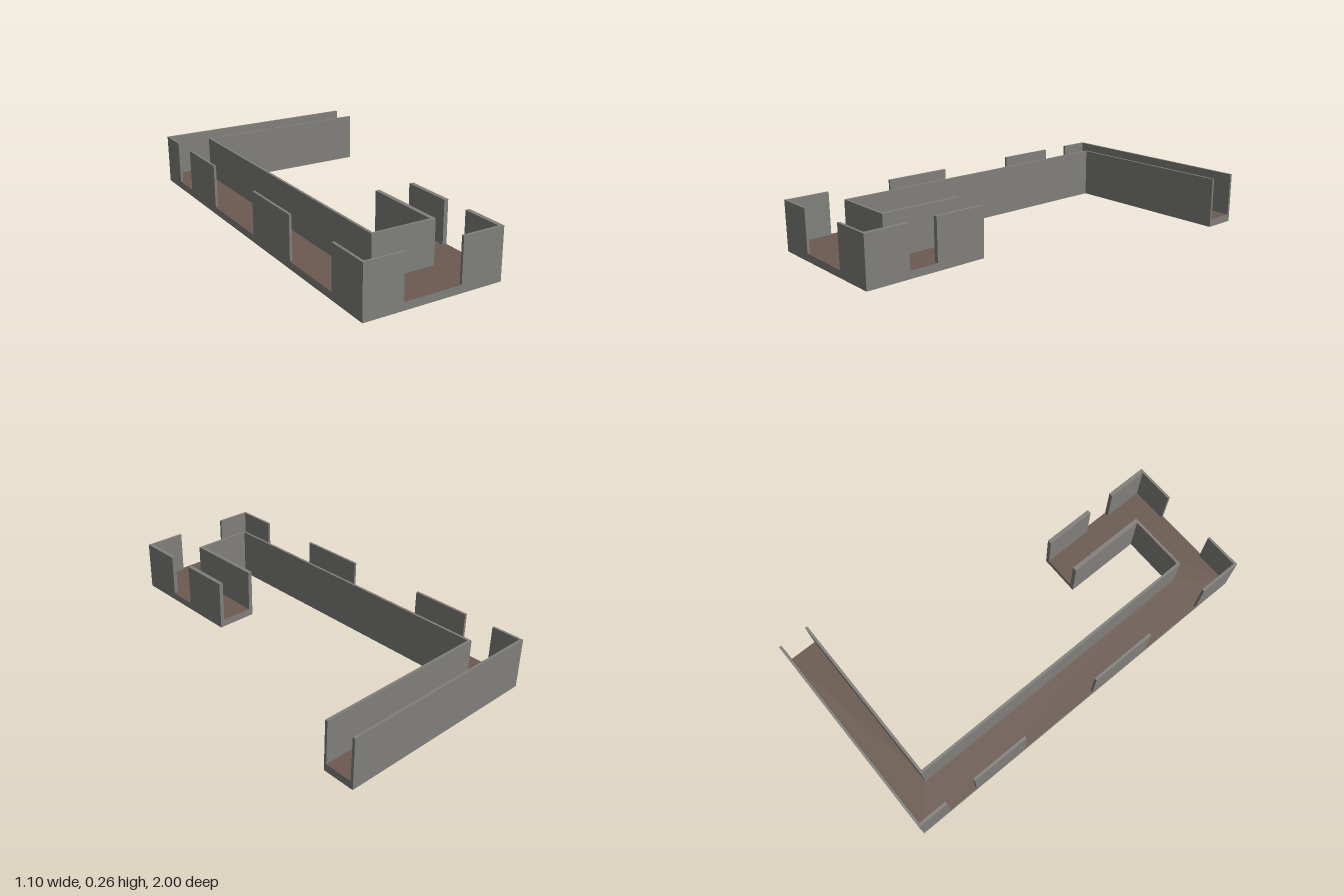
import * as THREE from 'three';

const FLOOR = 0.038, TOP = 0.257;

export function createModel() {
  const group = new THREE.Group();
  const stone = new THREE.MeshStandardMaterial({ color: 0x807f7b });
  stone.name = 'grey stone';
  const earth = new THREE.MeshStandardMaterial({ color: 0x6b5a50 });
  earth.name = 'brown floor';

  const add = (name, geometry, material) => {
    const mesh = new THREE.Mesh(geometry, material);
    mesh.name = name;
    group.add(mesh);
    return mesh;
  };

  // Plan of the hooked corridor, as [x, z] corners
  const plan = [
    [-0.55, 1], [0.15, 1], [0.15, 0.36], [-0.064, 0.36], [-0.064, 0.772],
    [-0.355, 0.772], [-0.355, -0.834], [0.55, -0.834], [0.55, -1], [-0.55, -1],
  ];
  const shape = new THREE.Shape(plan.map(([x, z]) => new THREE.Vector2(x, -z)));

  // Slab with a brown walking surface
  add('floorSlab', new THREE.ExtrudeGeometry(shape, { depth: FLOOR, bevelEnabled: false })
    .rotateX(-Math.PI / 2), stone);
  add('floorSurface', new THREE.ShapeGeometry(shape).rotateX(-Math.PI / 2), earth)
    .position.y = FLOOR + 0.0005;

  // Wall panel covering a rectangle of the plan
  const wall = (name, x0, x1, z0, z1) => {
    const h = TOP - FLOOR;
    add(name, new THREE.BoxGeometry(x1 - x0, h, z1 - z0), stone)
      .position.set((x0 + x1) / 2, FLOOR + h / 2, (z0 + z1) / 2);
  };

  const T = 0.013, S = 0.022; // thin and thick walls

  // Back arm, open at its end
  wall('backOuterWall', -0.55, 0.55, -1, -1 + T);
  wall('backInnerWall', -0.355 - T, 0.55, -0.834 - T, -0.834);

  // Long corridor: outer panels with doorways between, and a solid inner wall
  [[-1 + T, -0.838], [-0.678, -0.37], [0.064, 0.418], [0.772, 1 - T]]
    .forEach(([a, b]) => wall('corridorOuterWall', -0.55, -0.55 + T, a, b));
  wall('corridorInnerWall', -0.355 - T, -0.355, -0.834, 0.772);

  // Front passage with a central doorway
  wall('frontOuterWall', -0.55, -0.355, 1 - T, 1);
  wall('frontOuterWall', -0.064, 0.15, 1 - T, 1);
  wall('frontInnerWall', -0.355 - T, -0.064 + S, 0.772, 0.772 + T);

  // Short return, open at its end, with a side doorway
  wall('returnInnerWall', -0.064, -0.064 + S, 0.36, 0.772);
  wall('returnOuterWall', 0.15 - S, 0.15, 0.36, 0.627);
  wall('returnOuterWall', 0.15 - S, 0.15, 0.775, 1 - T);

  return group;
}
